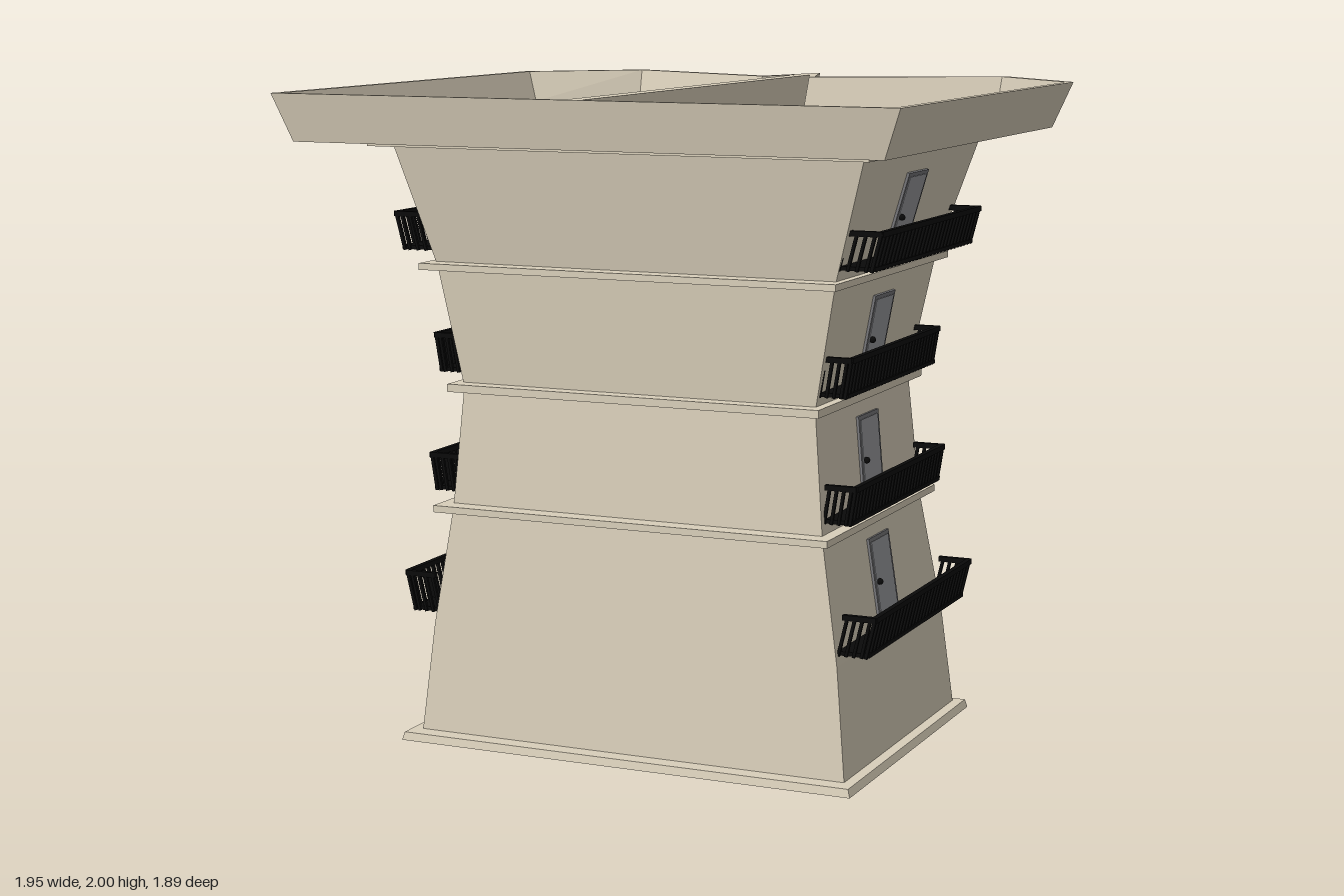
import * as THREE from 'three';
import { mergeGeometries } from 'three/addons/utils/BufferGeometryUtils.js';

const V = (x, y, z) => new THREE.Vector3(x, y, z);
const mat = (color, extra = {}) => new THREE.MeshStandardMaterial({ color, ...extra });
const stone = mat(0xd9cfba, { flatShading: true });
const black = mat(0x0a0a0a);
const frameGrey = mat(0x77777a);
const doorGrey = mat(0x9a9b9f);
const barGrey = mat(0xb5b0a5);

// Half outline (+x side, front to back) mirrored into a closed plan
const mirrorPlan = (half, tip) => [...half, [0, tip], ...half.map(([x, z]) => [-x, z]).reverse()];
const bayPlan = (hw, f, c, p, v = 0.2 * hw, vz = c, px = 0.72 * hw) =>
  mirrorPlan([[hw, f], [hw, c], [px, p], [v, vz]], p);
const groundPlan = (hw, f, c, p, v = 0.22 * hw) => mirrorPlan([[hw, f], [hw, c], [v, c]], p);

function mesh(geo, material, name) {
  const m = new THREE.Mesh(geo, material);
  m.name = name;
  return m;
}

function geometryFrom(tris) {
  const g = new THREE.BufferGeometry().setFromPoints(tris);
  g.computeVertexNormals();
  return g;
}

// Flat cap facing up (dir 1) or down (dir -1), with optional holes
function cap(plan, y, dir, holes = []) {
  const to2 = (r) => r.map(([x, z]) => new THREE.Vector2(x, z));
  const pts = [plan, ...holes].flat();
  const out = [];
  for (const face of THREE.ShapeUtils.triangulateShape(to2(plan), holes.map(to2))) {
    const [a, b, c] = face.map((i) => V(pts[i][0], y, pts[i][1]));
    const up = b.clone().sub(a).cross(c.clone().sub(a)).y;
    out.push(a, ...(up * dir > 0 ? [b, c] : [c, b]));
  }
  return out;
}

// Side walls through a list of [y, plan] levels
function sides(levels) {
  const out = [];
  for (let k = 0; k + 1 < levels.length; k++) {
    const [y0, a] = levels[k], [y1, b] = levels[k + 1];
    a.forEach((p, i) => {
      const j = (i + 1) % a.length;
      const [A, B] = [V(p[0], y0, p[1]), V(a[j][0], y0, a[j][1])];
      const [C, D] = [V(b[j][0], y1, b[j][1]), V(b[i][0], y1, b[i][1])];
      out.push(A, B, C, A, C, D);
    });
  }
  return out;
}

function solid(levels, name) {
  const [y0, a] = levels[0], [y1, b] = levels[levels.length - 1];
  return mesh(geometryFrom([...cap(a, y0, -1), ...sides(levels), ...cap(b, y1, 1)]), stone, name);
}

// Point on wall face i of a storey, s along and t up
function wallPoint(lo, hi, i, s, t) {
  const at = ([y, r], k) => V(r[k][0], y, r[k][1]);
  return at(lo, i).lerp(at(lo, i + 1), s).lerp(at(hi, i).lerp(at(hi, i + 1), s), t);
}

// Puts an object on a wall face, its z axis pointing outward
function place(obj, lo, hi, i, s, y) {
  const t = (y - lo[0]) / (hi[0] - lo[0]);
  const u = wallPoint(lo, hi, i, 1, t).sub(wallPoint(lo, hi, i, 0, t)).normalize();
  const up = wallPoint(lo, hi, i, s, 1).sub(wallPoint(lo, hi, i, s, 0));
  const n = u.clone().cross(up).normalize();
  obj.quaternion.setFromRotationMatrix(new THREE.Matrix4().makeBasis(u, n.clone().cross(u), n));
  obj.position.copy(wallPoint(lo, hi, i, s, t));
  return obj;
}

function box(w, h, d, x, y, z, material, name) {
  const m = mesh(new THREE.BoxGeometry(w, h, d), material, name);
  m.position.set(x, y, z);
  return m;
}

function makeDoor() {
  const g = new THREE.Group();
  g.name = 'door';
  g.add(box(0.17, 0.27, 0.016, 0, 0, 0, frameGrey, 'doorFrame'));
  g.add(box(0.146, 0.258, 0.02, 0, -0.006, 0, doorGrey, 'doorLeaf'));
  const knob = mesh(new THREE.SphereGeometry(0.01, 10, 8), black, 'doorKnob');
  knob.position.set(-0.062, 0, 0.016);
  g.add(knob);
  return g;
}

function makeWindow(w, h) {
  const g = new THREE.Group(), b = 0.012;
  g.name = 'window';
  g.add(box(w, h, 0.01, 0, 0, 0, black, 'glass'));
  for (const k of [-1, 1]) {
    g.add(box(b, h, 0.02, (k * (w - b)) / 2, 0, 0, frameGrey, 'frameSide'));
    g.add(box(w, b, 0.02, 0, (k * (h - b)) / 2, 0, frameGrey, 'frameEnd'));
  }
  g.add(box(0.009, h - b, 0.016, 0, 0, 0, barGrey, 'glazingBar'));
  g.add(box(w - b, 0.009, 0.016, 0, 0, 0, barGrey, 'glazingBar'));
  return g;
}

// Dark glazing over a face of the central fin
function finGlass(lo, hi, i) {
  const q = [[0.04, 0.04], [0.97, 0.04], [0.97, 0.97], [0.04, 0.97]].map(([s, t]) => wallPoint(lo, hi, i, s, t));
  const n = q[1].clone().sub(q[0]).cross(q[3].clone().sub(q[0])).normalize().multiplyScalar(0.006);
  q.forEach((p) => p.add(n));
  return mesh(geometryFrom([q[0], q[1], q[2], q[0], q[2], q[3]]), mat(0x0a0a0a, { side: THREE.DoubleSide }), 'finGlass');
}

function bar(a, b, w) {
  const d = b.clone().sub(a);
  const g = new THREE.BoxGeometry(w, d.length() + w * 0.5, w);
  g.applyQuaternion(new THREE.Quaternion().setFromUnitVectors(V(0, 1, 0), d.normalize()));
  return g.translate(...a.clone().add(b).multiplyScalar(0.5).toArray());
}

// Outward leaning balustrade on a thin floor plate
function makeBalcony(y0, y1, zf, zb, xin, xb, xt) {
  const parts = [], lean = xt - xb;
  const plate = new THREE.BoxGeometry(xb - xin + 0.02, 0.012, zf - zb);
  parts.push(plate.translate((xin + xb) / 2, y0 + 0.006, (zf + zb) / 2));
  parts.push(bar(V(xt, y1, zf), V(xt, y1, zb), 0.016));
  const n = 28;
  for (let k = 0; k <= n; k++) {
    const z = zf + ((zb - zf) * k) / n;
    parts.push(bar(V(xb, y0, z), V(xt, y1, z), 0.01));
  }
  for (const z of [zf, zb]) {
    parts.push(bar(V(xin + lean, y1, z), V(xt, y1, z), 0.016));
    for (let k = 0; k < 4; k++) {
      const x = xin + 0.01 + ((xb - xin) * k) / 4;
      parts.push(bar(V(x, y0, z), V(x + lean, y1, z), 0.009));
    }
  }
  return mesh(mergeGeometries(parts), black, 'balcony');
}

export function createModel() {
  const model = new THREE.Group();
  model.name = 'tower';

  // Ground storey and the pinched upper storeys
  const ground = [[0.02, groundPlan(0.7, 0.6, -0.375, -0.545)], [0.36, groundPlan(0.665, 0.575, -0.34, -0.51)]];
  const floors = [
    [0.36, bayPlan(0.665, 0.575, -0.335, -0.51)],
    [0.73, bayPlan(0.607, 0.55, -0.285, -0.455)],
    [1.1, bayPlan(0.575, 0.53, -0.26, -0.415)],
    [1.47, bayPlan(0.645, 0.56, -0.305, -0.475)],
    [1.84, bayPlan(0.755, 0.625, -0.4, -0.605)],
  ];
  model.add(solid(ground, 'groundStorey'), solid(floors, 'upperStoreys'));

  // Projecting slabs between storeys
  model.add(solid([[0, groundPlan(0.74, 0.66, -0.405, -0.6)], [0.025, groundPlan(0.733, 0.655, -0.4, -0.598)]], 'baseSlab'));
  const slabs = [
    [0.717, 0.738, 0.645, 0.61, -0.325, -0.512],
    [1.088, 1.112, 0.605, 0.583, -0.3, -0.47],
    [1.462, 1.482, 0.672, 0.627, -0.345, -0.545],
    [1.835, 1.86, 0.797, 0.703, -0.455, -0.683],
  ];
  for (const [y0, y1, hw, f, c, p] of slabs) {
    const plan = bayPlan(hw, f, c, p, 0.18 * hw, c - 0.02);
    model.add(solid([[y0, plan], [y1, plan]], 'storeySlab'));
  }

  // Flared roof with two sunken pans either side of a ridge
  const low = bayPlan(0.92, 0.915, -0.62, -0.89, 0.085, -0.635, 0.635);
  const top = bayPlan(0.975, 0.945, -0.66, -0.95, 0.09, -0.675, 0.66);
  const panTop = [[0.953, 0.925], [0.953, -0.648], [0.655, -0.922], [0.083, -0.64], [0.025, -0.79], [0.025, 0.925]];
  const panLow = [[0.92, 0.9], [0.92, -0.63], [0.65, -0.89], [0.078, -0.608], [0.025, -0.765], [0.025, 0.9]];
  const flip = (r) => r.map(([x, z]) => [-x, z]).reverse();
  const roof = [...cap(low, 1.858, -1), ...sides([[1.858, low], [2, top]]), ...cap(top, 2, 1, [panTop, flip(panTop)])];
  for (const [a, b] of [[panTop, panLow], [flip(panTop), flip(panLow)]])
    roof.push(...sides([[2, a], [1.9, b]]), ...cap(b, 1.9, 1));
  model.add(mesh(geometryFrom(roof), stone, 'roof'));

  // Doors, windows, fin glazing and balconies of one half
  const half = new THREE.Group();
  half.name = 'leftFittings';
  half.add(place(makeDoor(), ground[0], ground[1], 1, 0.45, 0.162));
  half.add(finGlass(ground[0], ground[1], 2));
  const balconies = [
    [0.39, 0.505, 0.55, -0.3, 0.65, 0.745, 0.772],
    [0.77, 0.877, 0.518, -0.245, 0.59, 0.68, 0.697],
    [1.14, 1.25, 0.513, -0.24, 0.57, 0.66, 0.678],
    [1.515, 1.622, 0.56, -0.308, 0.645, 0.755, 0.783],
  ];
  for (let k = 0; k < 4; k++) {
    const lo = floors[k], hi = floors[k + 1], y = lo[0] + 0.18;
    const front = (lo[1][0][1] + hi[1][0][1]) / 2, back = (lo[1][1][1] + hi[1][1][1]) / 2;
    half.add(place(makeDoor(), lo, hi, 0, (front - 0.128) / (front - back), y - 0.01));
    half.add(place(makeWindow(0.11, 0.2), lo, hi, 1, 0.5, y + 0.005));
    half.add(place(makeWindow(0.19, 0.19), lo, hi, 2, 0.48, y + 0.005));
    half.add(finGlass(lo, hi, 3), makeBalcony(...balconies[k]));
  }
  const other = half.clone();
  other.name = 'rightFittings';
  other.scale.x = -1;
  model.add(half, other);
  return model;
}
